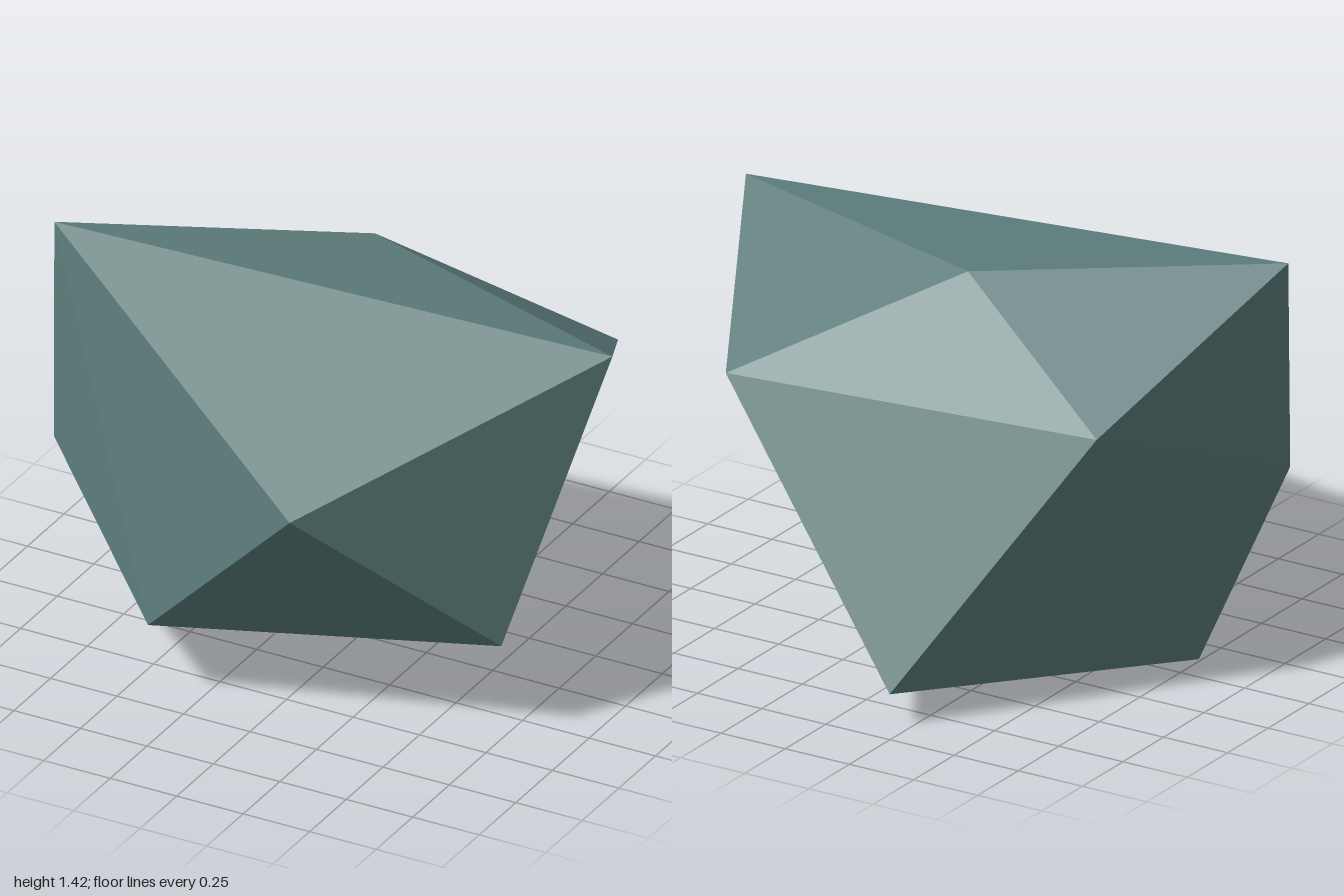
import * as THREE from 'three';
import { ConvexGeometry } from 'three/addons/geometries/ConvexGeometry.js';

export function createModel() {
  const group = new THREE.Group();
  group.name = 'rock';

  const stone = new THREE.MeshStandardMaterial({ color: 0x5a7a79 });
  stone.name = 'greyGreenStone';

  // Corners of the faceted boulder, joined by flat facets
  const corners = [
    // upper corners
    [-1.0, 1.42, 0.27], [1.0, 1.36, 0.09], [-0.08, 1.37, -0.25],
    // middle corners
    [0.24, 0.93, 0.915], [0.63, 0.98, -0.62], [-0.73, 0.995, -0.485], [-0.96, 0.66, 0.345],
    // lower corners
    [0.75, 0.35, 0.395], [-0.4, 0.28, 0.72], [-0.195, 0.12, -0.915],
    // resting edge
    [-0.74, 0, 0.13], [0.07, 0, -0.35],
  ].map((p) => new THREE.Vector3(...p));

  const boulder = new THREE.Mesh(new ConvexGeometry(corners), stone);
  boulder.name = 'boulder';
  group.add(boulder);
  return group;
}
